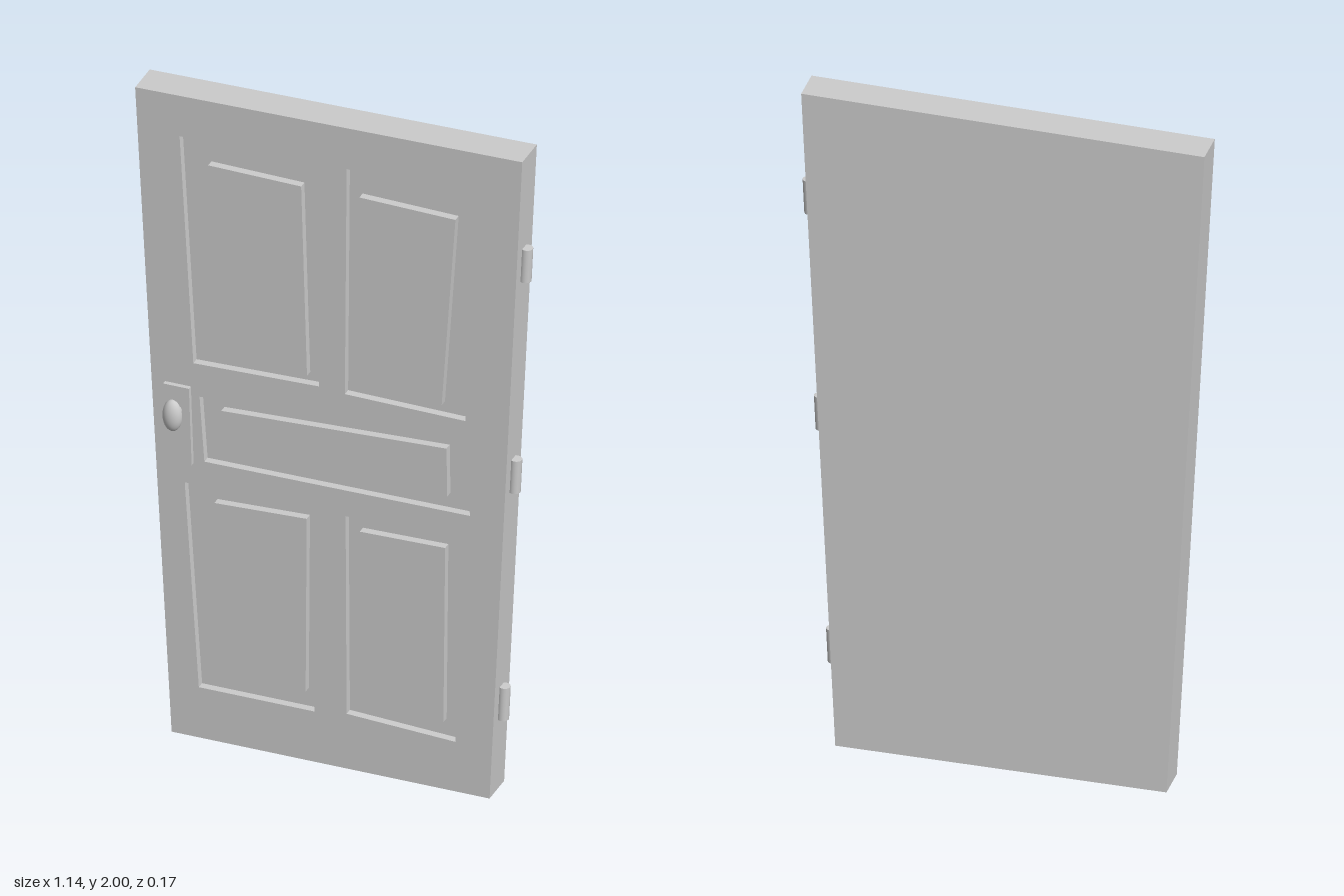
import * as THREE from 'three';

const BACK = -0.085, FRONT = 0.017, RECESS = 0.023;

// Corner lists run: top left, top right, bottom right, bottom left
const OUTLINE = [[-0.569, 1.98], [0.555, 2], [0.46, 0], [-0.463, 0]];
const PANELS = [
  { name: 'upperRightPanel',
    recess: [[-0.44, 1.857], [-0.05, 1.862], [-0.035, 1.17], [-0.4, 1.16]],
    raised: [[-0.357, 1.785], [-0.087, 1.78], [-0.07, 1.195], [-0.318, 1.19]] },
  { name: 'upperLeftPanel',
    recess: [[0.045, 1.864], [0.437, 1.862], [0.39, 1.158], [0.04, 1.163]],
    raised: [[0.082, 1.784], [0.361, 1.777], [0.321, 1.192], [0.087, 1.192]] },
  { name: 'middlePanel',
    recess: [[-0.382, 1.06], [0.392, 1.098], [0.403, 0.866], [-0.368, 0.861]],
    raised: [[-0.319, 1.03], [0.335, 1.06], [0.337, 0.911], [-0.306, 0.906]] },
  { name: 'lowerRightPanel',
    recess: [[-0.425, 0.784], [-0.026, 0.792], [-0.048, 0.156], [-0.384, 0.156]],
    raised: [[-0.339, 0.739], [-0.071, 0.75], [-0.074, 0.212], [-0.312, 0.214]] },
  { name: 'lowerLeftPanel',
    recess: [[0.042, 0.784], [0.389, 0.787], [0.361, 0.154], [0.045, 0.17]],
    raised: [[0.083, 0.745], [0.331, 0.75], [0.326, 0.207], [0.083, 0.226]] },
];

const toPoints = (corners) => corners.map(([x, y]) => new THREE.Vector2(x, y));

export function createModel() {
  const group = new THREE.Group();
  group.name = 'door';
  const material = new THREE.MeshStandardMaterial({ color: 0xcccccc });

  const add = (name, geometry, parent = group) => {
    const mesh = new THREE.Mesh(geometry, material);
    mesh.name = name;
    parent.add(mesh);
    return mesh;
  };

  // Flat prism between two depths; cut-outs wind against the outline so their walls face inward
  const addPrism = (name, corners, z0, z1, holes = []) => {
    const shape = new THREE.Shape(toPoints(corners));
    shape.holes = holes.map((h) => new THREE.Path(toPoints(h).reverse()));
    const geometry = new THREE.ExtrudeGeometry(shape, { depth: z1 - z0, bevelEnabled: false });
    add(name, geometry).position.z = z0;
  };

  // Tapered slab, front frame with recesses, raised panels
  const floor = FRONT - RECESS;
  addPrism('slab', OUTLINE, BACK, floor);
  addPrism('frontFrame', OUTLINE, floor, FRONT, PANELS.map((p) => p.recess));
  for (const p of PANELS) addPrism(p.name, p.raised, floor, FRONT);

  // Knob plate
  addPrism('knobPlate', [[-0.482, 1.086], [-0.407, 1.086], [-0.399, 0.85], [-0.469, 0.85]], FRONT, 0.031);

  // Knob: round shank and an oval dome with a flat back
  const knob = new THREE.Group();
  knob.name = 'knob';
  knob.position.set(-0.442, 1.013, 0);
  group.add(knob);
  const shank = add('knobShank', new THREE.CylinderGeometry(0.015, 0.015, 0.035, 20), knob);
  shank.rotation.x = Math.PI / 2;
  shank.position.z = 0.0455;
  const dome = add('knobHead', new THREE.SphereGeometry(1, 24, 10, 0, Math.PI * 2, 0, Math.PI / 2), knob);
  dome.rotation.x = Math.PI / 2;
  dome.scale.set(0.028, 0.023, 0.048);
  dome.position.z = 0.061;
  const domeBack = add('knobHeadBack', new THREE.CircleGeometry(1, 24), knob);
  domeBack.rotation.y = Math.PI;
  domeBack.scale.set(0.028, 0.048, 1);
  domeBack.position.z = 0.061;

  // Hinge barrels leaning with the left edge
  const [, top, bottom] = OUTLINE;
  const slope = (top[0] - bottom[0]) / (top[1] - bottom[1]);
  for (const y of [0.28, 0.994, 1.657]) {
    const hinge = add('hinge', new THREE.CylinderGeometry(0.017, 0.017, 0.102, 16));
    hinge.position.set(bottom[0] + slope * y + 0.008, y, -0.03);
    hinge.rotation.z = -Math.atan(slope);
  }

  return group;
}
